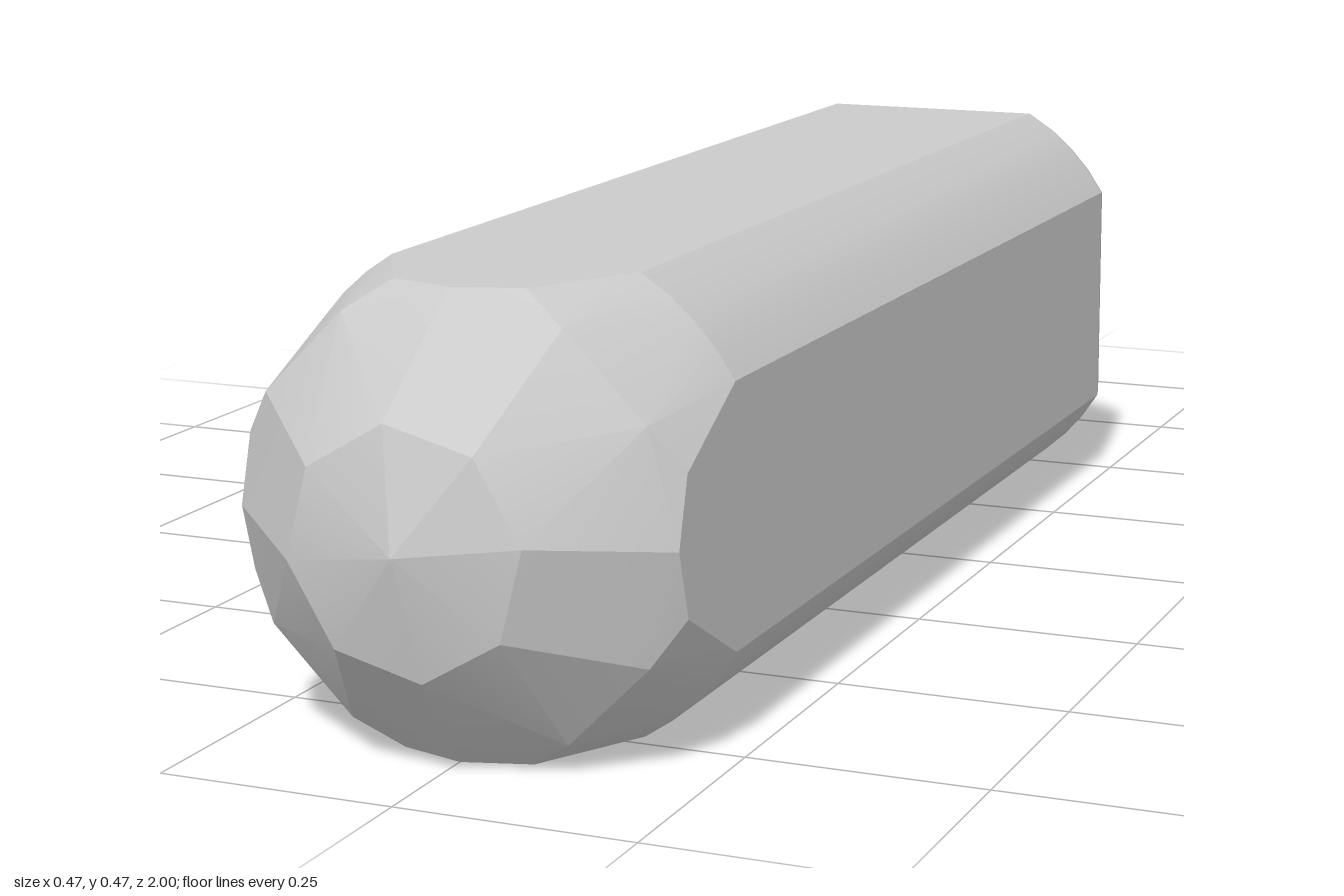
import * as THREE from 'three';
import { ConvexGeometry } from 'three/addons/geometries/ConvexGeometry.js';
import { toCreasedNormals } from 'three/addons/utils/BufferGeometryUtils.js';

const MID_Y = 0.234;  // height of the long axis
const HALF = 0.233;   // half width of the bar
const R = 0.269;      // radius of the corner arcs and of the front dome
const DOME_Z = 0.73;  // centre of the front dome

const deg = THREE.MathUtils.degToRad;
const clamp = THREE.MathUtils.clamp;

// Round ring trimmed by flat sides
function ring(radius, z, angles, limitX = HALF, limitY = HALF) {
  return angles.map((a) => new THREE.Vector3(
    clamp(radius * Math.cos(deg(a)), -limitX, limitX),
    clamp(radius * Math.sin(deg(a)), -limitY, limitY), z));
}

const steps = (n, offset = 0) => Array.from({ length: n }, (_, i) => offset + i * 360 / n);

function hullMesh(name, points, crease) {
  const geometry = toCreasedNormals(new ConvexGeometry(points), deg(crease));
  const mesh = new THREE.Mesh(geometry, new THREE.MeshStandardMaterial({ color: 0xcccccc }));
  mesh.name = name;
  return mesh;
}

export function createModel() {
  const model = new THREE.Group();
  model.name = 'stickBar';

  // Four corner arcs, each from 30 to 60 degrees within its quadrant
  const corners = [0, 90, 180, 270].flatMap((q) => [30, 37.5, 45, 52.5, 60].map((a) => a + q));

  // Bar: square prism with rounded corners, faceted dome in front, shallow pyramid behind
  const bar = [
    ...ring(R, DOME_Z, corners),
    ...ring(R, -0.49, corners),
    ...ring(R * 0.98, -0.51, corners, HALF, HALF * 0.94),
    ...ring(HALF, 0.865, steps(12)),
    ...ring(0.124, 0.968, steps(8, 8)),
    new THREE.Vector3(0.005, 0.005, 1),
  ];
  // Dome edge where it meets the four flat sides
  const edgeZ = DOME_Z + Math.sqrt(R * R - HALF * HALF - 0.07 * 0.07);
  for (const s of [-1, 1]) for (const t of [-0.07, 0.07]) {
    bar.push(new THREE.Vector3(s * HALF, t, edgeZ), new THREE.Vector3(t, s * HALF, edgeZ));
  }
  for (const x of [-0.04, 0.04]) for (const y of [-0.08, 0.08]) {
    bar.push(new THREE.Vector3(x, y, -0.553));
  }
  model.add(hullMesh('bar', bar, 12));

  // Stick: flat tapering bar with rounded edges and a rounded end
  const stick = [[-0.5, 0.048, 0.079], [-0.94, 0.039, 0.068], [-0.975, 0.036, 0.052], [-1, 0.03, 0.028]]
    .flatMap(([z, hx, hy]) => steps(20).map((a) => {
      const c = Math.cos(deg(a)), s = Math.sin(deg(a));
      return new THREE.Vector3(
        hx * Math.sign(c) * Math.abs(c) ** 0.65, hy * Math.sign(s) * Math.abs(s) ** 0.8, z);
    }));
  model.add(hullMesh('stick', stick, 25));

  for (const part of model.children) part.position.y = MID_Y;
  return model;
}
